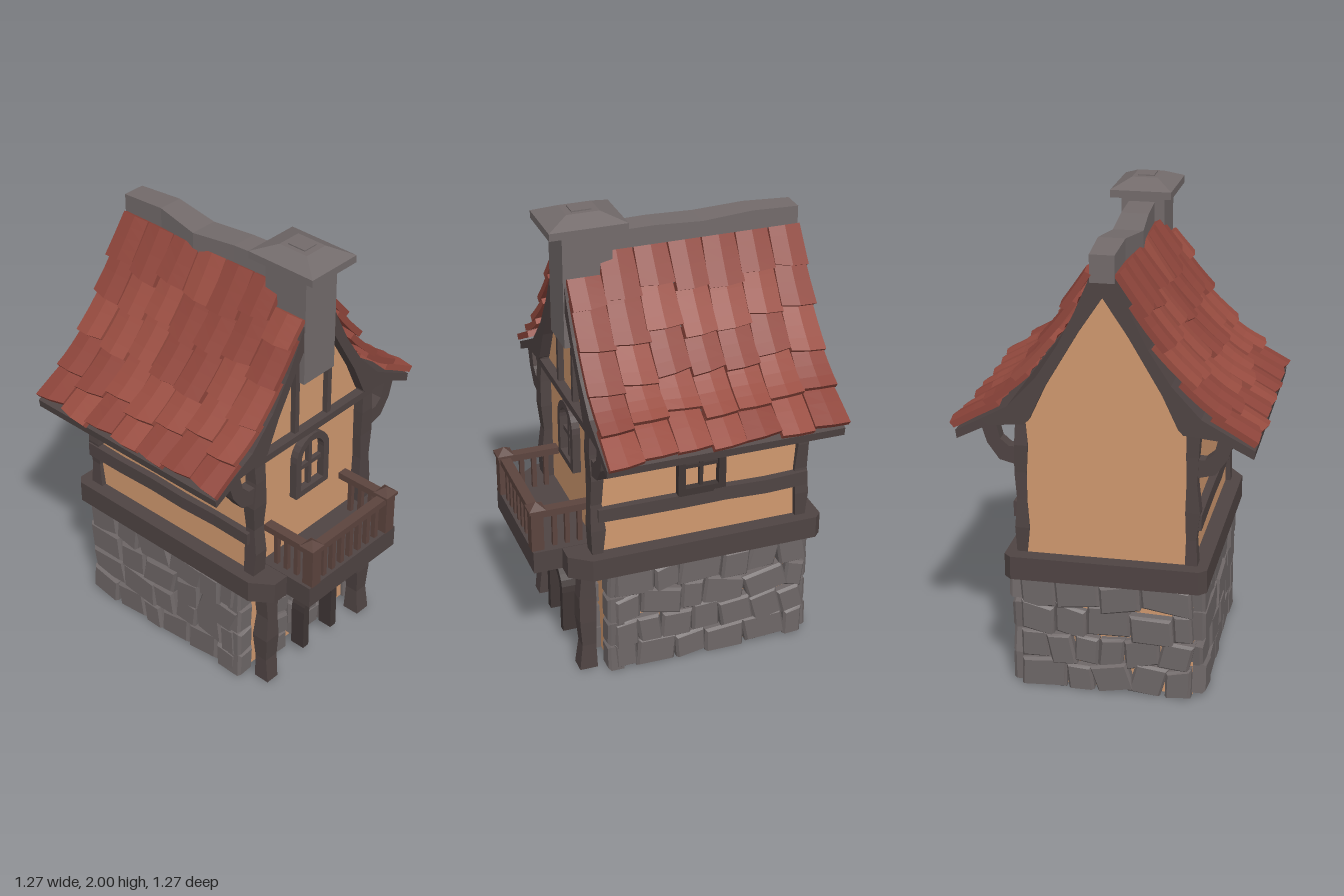
import * as THREE from 'three';

const mat = (color) => new THREE.MeshStandardMaterial({ color, flatShading: true });
const M = {
  wall: mat(0xd0996f), timber: mat(0x4f4443), rail: mat(0x5c443e), frame: mat(0x3f3635),
  stone: mat(0x6e6767), chimney: mat(0x736b6b), tileA: mat(0x984c40), tileB: mat(0x8e453b),
};

let seed = 7;
const rnd = (a = 0, b = 1) => {
  seed = (seed * 16807) % 2147483647;
  return a + (b - a) * (seed / 2147483647);
};

function add(parent, name, geo, material, x = 0, y = 0, z = 0) {
  const m = new THREE.Mesh(geo, material);
  m.name = name;
  m.position.set(x, y, z);
  parent.add(m);
  return m;
}

// Move every vertex by a rule
function reshape(geo, rule) {
  const p = geo.attributes.position, v = new THREE.Vector3();
  for (let i = 0; i < p.count; i++) {
    rule(v.fromBufferAttribute(p, i));
    p.setXYZ(i, v.x, v.y, v.z);
  }
  geo.computeVertexNormals();
  return geo;
}

// Box given by its limits
function box(parent, name, material, x0, x1, y0, y1, z0, z1) {
  return add(parent, name, new THREE.BoxGeometry(x1 - x0, y1 - y0, z1 - z0), material,
    (x0 + x1) / 2, (y0 + y1) / 2, (z0 + z1) / 2);
}

// Hand-hewn timber: a box whose sections swell and shift along its length
function beam(parent, name, x0, x1, y0, y1, z0, z1, wob = 0.005) {
  const size = [x1 - x0, y1 - y0, z1 - z0];
  const axis = size.indexOf(Math.max(...size));
  const geo = new THREE.BoxGeometry(...size, ...size.map((s, i) => (i === axis ? 5 : 1)));
  const phase = rnd(0, 6);
  reshape(geo, (v) => {
    const a = v.getComponent(axis) * 19 + phase;
    [0, 1, 2].filter((i) => i !== axis).forEach((i, k) => {
      const c = v.getComponent(i);
      v.setComponent(i, c + Math.sign(c) * wob * Math.sin(a * 1.7 + k) + wob * 0.6 * Math.sin(a + k * 2));
    });
  });
  return add(parent, name, geo, M.timber, (x0 + x1) / 2, (y0 + y1) / 2, (z0 + z1) / 2);
}

// Flat outline pushed along z from z0 to z1
function slab(parent, name, material, points, z0, z1) {
  const shape = new THREE.Shape(points.map(([x, y]) => new THREE.Vector2(x, y)));
  return add(parent, name, new THREE.ExtrudeGeometry(shape, { depth: z1 - z0, bevelEnabled: false }),
    material, 0, 0, z0);
}

// Arch-topped frame of half width w, height h and thickness t
function archFrame(parent, name, material, w, h, t, y, z0, z1) {
  const s = new THREE.Shape();
  s.moveTo(-w, 0);
  s.lineTo(-w + t, 0);
  s.lineTo(-w + t, h - w);
  s.absarc(0, h - w, w - t, Math.PI, 0, true);
  s.lineTo(w - t, 0);
  s.lineTo(w, 0);
  s.lineTo(w, h - w);
  s.absarc(0, h - w, w, 0, Math.PI, false);
  return add(parent, name, new THREE.ExtrudeGeometry(s, { depth: z1 - z0, bevelEnabled: false, curveSegments: 6 }),
    material, 0, y, z0);
}

// Rough stone with a chamfered outer face, facing +z
function stone(parent, x, y, z, w, h, d, turn) {
  const geo = new THREE.BoxGeometry(w, h, d, 1, 1, 2);
  const kx = rnd(-0.18, 0.18), ky = rnd(-0.16, 0.16);
  reshape(geo, (v) => {
    const px = v.x / w, py = v.y / h;
    v.x += kx * py * w * 0.8;
    v.y += ky * px * h * 0.8;
    if (v.z > d * 0.4) { v.x -= Math.sign(px) * 0.01; v.y -= Math.sign(py) * 0.01; }
    else if (v.z > -d * 0.1) v.z = d * 0.32;
    const c = Math.cos(turn), s = Math.sin(turn), vx = v.x;
    v.x = vx * c - v.y * s;
    v.y = Math.max(vx * s + v.y * c, 0.003 - y);
  });
  return add(parent, 'stone', geo, M.stone, x, y, z);
}

function stoneWall(parent, name, width, x, z, angle) {
  const g = new THREE.Group();
  g.name = name;
  const rows = 4, h = 0.5 / rows;
  for (let r = 0; r < rows; r++) {
    for (let u = -width / 2; u < width / 2 - 0.03;) {
      let w = Math.min(rnd(0.1, 0.2), width / 2 - u);
      if (width / 2 - u - w < 0.07) w = width / 2 - u;
      stone(g, u + w / 2, (r + 0.5) * h + rnd(-0.015, 0.012), rnd(0.003, 0.02),
        w * 0.98, h * rnd(0.95, 1.12), 0.07, rnd(-0.17, 0.17));
      u += w;
    }
  }
  g.position.set(x, 0, z);
  g.rotation.y = angle;
  parent.add(g);
}

function buildRoof(parent) {
  const mirror = (pts) => pts.concat(pts.slice(0, -1).reverse().map(([x, y]) => [-x, y]));
  const inner = [[0.32, 1.18], [0.3, 1.2], [0.235, 1.34], [0.1, 1.57], [0, 1.72]];
  const outer = [[0.605, 1.135], [0.5, 1.19], [0.39, 1.25], [0.27, 1.38], [0.18, 1.52], [0.11, 1.66], [0.05, 1.8], [0, 1.84]];
  const under = [[-0.6, 1.1], [-0.47, 1.165], [-0.32, 1.18]];
  // Timber shell, and the plaster gable below it
  slab(parent, 'roofShell', M.timber, [...mirror(outer), ...under, ...mirror(inner).slice(1, -1).reverse(),
    [0.32, 1.18], [0.47, 1.165], [0.6, 1.1]], -0.62, 0.405);
  slab(parent, 'gableWall', M.wall, mirror(inner), -0.595, 0.36);

  // Tiles bent along the roof curve
  const curve = new THREE.SplineCurve([[0.05, 1.815], [0.11, 1.69], [0.18, 1.56], [0.28, 1.415], [0.4, 1.28],
    [0.5, 1.2], [0.605, 1.115]].map(([x, y]) => new THREE.Vector2(x, y)));
  const tiles = new THREE.Group();
  tiles.name = 'roofTiles';
  const cols = 7, rows = 5, wide = 1.03 / cols;
  for (const s of [1, -1]) for (let c = 0; c < cols; c++) {
    const shift = rnd(-0.03, 0.03), zc = s * (0.4 - (c + 0.5) * wide + 0.11) - 0.11;
    const byChimney = c === (s > 0 ? 0 : cols - 1);
    for (let r = 0; r < rows; r++) {
      const first = byChimney && r === 0 ? 0.1 : 0;
      const t0 = Math.max(r / rows + shift - 0.03, first);
      const t1 = r === rows - 1 ? rnd(0.965, 1) : (r + 1) / rows + shift + rnd(0, 0.03);
      const skew = rnd(-0.014, 0.014), lift = rnd(0, 0.012), flare = rnd(0.95, 1.08);
      const geo = reshape(new THREE.BoxGeometry(1, 1, 1, 4, 1, 2), (v) => {
        const u = v.x + 0.5;
        const t = Math.min(Math.max(t0 + u * (t1 - t0) + skew * v.z * 2 * u - v.z * v.z * 0.025 * u, 0), 1);
        const p = curve.getPointAt(t), d = curve.getTangentAt(t);
        const off = 0.014 + u * (0.024 + lift) + v.y * 0.028 - v.z * v.z * 0.035;
        const w = v.z * wide * (0.95 + (flare - 0.95) * u);
        v.set(s * (p.x - d.y * off), p.y + d.x * off, zc + s * w);
      });
      add(tiles, 'roofTile', geo, rnd() < 0.5 ? M.tileA : M.tileB);
    }
  }
  parent.add(tiles);

  // Sagging stone ridge
  const ridge = reshape(new THREE.BoxGeometry(0.1, 0.12, 0.84, 1, 1, 4), (v) => {
    const k = Math.round((v.z + 0.42) / 0.21);
    if (v.y > 0) v.y += [-0.008, 0.004, -0.018, -0.002, 0][k];
    v.x = v.x * [1, 1.1, 1.25, 1.15, 1.1][k] + [0, 0.005, -0.018, -0.004, 0.006][k];
  });
  add(parent, 'ridge', ridge, M.chimney, 0, 1.84, -0.205);
}

function buildChimney(parent) {
  box(parent, 'chimneyShaft', M.chimney, -0.092, 0.092, 1.43, 1.94, 0.2, 0.41);
  box(parent, 'chimneyCapEdge', M.chimney, -0.13, 0.13, 1.925, 1.957, 0.143, 0.473);
  const top = new THREE.CylinderGeometry(0.055 * Math.SQRT2, 0.13 * Math.SQRT2, 0.038, 4);
  top.rotateY(Math.PI / 4).scale(1, 1, 1.27);
  add(parent, 'chimneyCap', top, M.chimney, 0, 1.976, 0.308);
  box(parent, 'flue', M.chimney, -0.035, 0.035, 1.98, 2, 0.265, 0.35);
}

function buildBalcony(parent) {
  box(parent, 'balconyDeck', M.timber, -0.28, 0.28, 0.502, 0.602, 0.35, 0.625);
  for (const s of [-1, 1]) {
    const x = s * 0.24;
    box(parent, 'railPost', M.rail, x - 0.027, x + 0.027, 0.6, 0.785, 0.573, 0.627);
    box(parent, 'railPostCap', M.rail, x - 0.037, x + 0.037, 0.785, 0.798, 0.561, 0.635);
    add(parent, 'railPostTip', new THREE.ConeGeometry(0.05, 0.028, 4).rotateY(Math.PI / 4), M.rail, x, 0.812, 0.598);
    box(parent, 'sideRail', M.rail, x - 0.022, x + 0.022, 0.757, 0.788, 0.35, 0.58);
    for (const z of [0.41, 0.465, 0.52]) box(parent, 'baluster', M.rail, x - 0.01, x + 0.01, 0.6, 0.76, z - 0.01, z + 0.01);
  }
  box(parent, 'frontRail', M.rail, -0.22, 0.22, 0.757, 0.788, 0.578, 0.622);
  for (let i = -3; i <= 3; i++) box(parent, 'baluster', M.rail, i * 0.056 - 0.011, i * 0.056 + 0.011, 0.6, 0.76, 0.59, 0.612);
}

function buildDoor(parent) {
  archFrame(parent, 'doorFrame', M.frame, 0.11, 0.31, 0.035, 0.05, 0.385, 0.455);
  // Stone filling, jambs and arch
  [[0.02, 0.08, 0.16, 0.1], [-0.045, 0.18, 0.1, 0.12], [0.04, 0.19, 0.1, 0.14], [0, 0.285, 0.14, 0.09]].forEach(
    ([x, y, w, h]) => stone(parent, x, y, 0.325, w, h, 0.08, rnd(-0.2, 0.2)));
  for (const s of [-1, 1]) for (let r = 0; r < 2; r++)
    stone(parent, s * (0.165 - r * 0.01), 0.06 + r * 0.1, 0.32, 0.1, 0.105, 0.09, rnd(-0.15, 0.15));
  for (let i = 0; i < 6; i++) {
    const a = Math.PI * (0.06 + 0.88 * i / 5);
    stone(parent, Math.cos(a) * 0.15, 0.25 + Math.sin(a) * 0.145, 0.32, 0.09, 0.09, 0.09, a - Math.PI / 2 + rnd(-0.15, 0.15));
  }
}

function buildWindows(parent) {
  archFrame(parent, 'frontWindowFrame', M.timber, 0.103, 0.285, 0.032, 0.845, 0.345, 0.39);
  box(parent, 'frontWindowSill', M.timber, -0.1, 0.1, 0.84, 0.87, 0.345, 0.39);
  box(parent, 'frontWindowMullion', M.timber, -0.01, 0.01, 0.86, 1.11, 0.345, 0.375);
  box(parent, 'frontWindowBar', M.timber, -0.08, 0.08, 0.965, 0.985, 0.345, 0.375);
  // Square window on the left wall
  const x0 = 0.34, x1 = 0.385, z = -0.085, y = 0.94;
  for (const s of [-1, 1]) {
    box(parent, 'sideWindowJamb', M.frame, x0, x1, 0.81, 1.07, z + s * 0.09 - 0.016, z + s * 0.09 + 0.016);
    box(parent, 'sideWindowRail', M.frame, x0, x1, y + s * 0.114 - 0.016, y + s * 0.114 + 0.016, z - 0.1, z + 0.1);
  }
  box(parent, 'sideWindowMullion', M.frame, x0, 0.372, 0.82, 1.06, z - 0.008, z + 0.008);
  box(parent, 'sideWindowBar', M.frame, x0, 0.372, y - 0.008, y + 0.008, z - 0.08, z + 0.08);
}

export function createModel() {
  const house = new THREE.Group();
  house.name = 'house';

  // Ground floor, with stones short of the corners
  box(house, 'lowerWall', M.wall, -0.36, 0.36, 0.005, 0.52, -0.555, 0.315);
  stoneWall(house, 'leftStones', 0.87, 0.36, -0.125, Math.PI / 2);
  stoneWall(house, 'rightStones', 0.87, -0.36, -0.125, -Math.PI / 2);
  stoneWall(house, 'backStones', 0.72, 0, -0.55, Math.PI);
  for (const s of [-1, 1]) for (let r = 0; r < 4; r++)
    stone(house, s * 0.355, 0.063 + r * 0.125, 0.305, 0.085, 0.12, 0.07, rnd(-0.1, 0.1));
  buildDoor(house);

  // Floor plate with cut corners, outlined in x and z
  const plate = [[-0.28, 0.5], [-0.355, 0.5], [-0.42, 0.41], [-0.42, -0.6], [-0.39, -0.63]];
  const ring = plate.concat(plate.slice().reverse().map(([x, z]) => [-x, z]));
  const floor = slab(house, 'floorPlate', M.timber, ring, 0, 0.1);
  floor.geometry.rotateX(Math.PI / 2);
  floor.position.y = 0.6;

  // Upper floor
  box(house, 'upperWall', M.wall, -0.352, 0.352, 0.59, 1.19, -0.565, 0.355);
  const bracket = [[0.36, 0.98], [0.44, 1.0], [0.49, 1.07], [0.515, 1.15], [0.455, 1.17], [0.435, 1.09], [0.4, 1.06], [0.36, 1.06]];
  for (const s of [-1, 1]) {
    const span = (a, b) => (s > 0 ? [a, b] : [-b, -a]);
    beam(house, 'frontPost', ...span(0.27, 0.34), 0, 0.6, 0.375, 0.445);
    beam(house, 'upperFrontPost', ...span(0.305, 0.37), 0.59, 1.2, 0.345, 0.4);
    beam(house, 'upperBackPost', ...span(0.325, 0.375), 0.59, 1.19, -0.57, -0.515);
    beam(house, 'sideBeam', ...span(0.33, 0.385), 0.757, 0.812, -0.565, 0.37);
    box(house, 'gableStrut', M.timber, ...span(0.088, 0.112), 1.18, 1.58, 0.34, 0.385);
    for (const [z0, z1] of [[0.34, 0.395], [-0.565, -0.51]])
      slab(house, 'eaveBracket', M.timber, bracket.map(([x, y]) => [s * x, y]), z0, z1);
  }
  box(house, 'tieBeam', M.timber, -0.37, 0.37, 1.155, 1.187, 0.33, 0.4);

  buildWindows(house);
  buildBalcony(house);
  buildRoof(house);
  buildChimney(house);
  return house;
}
